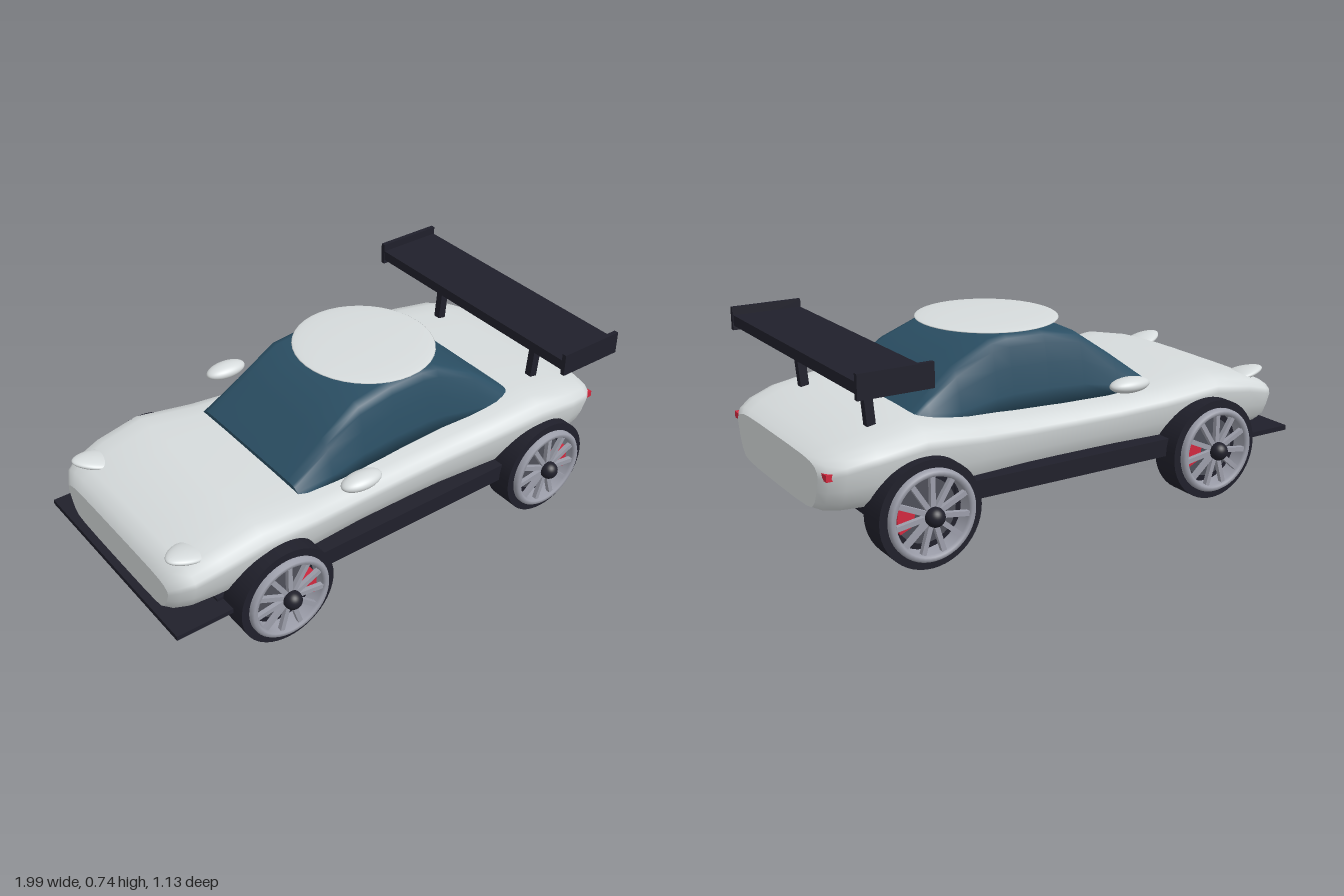
import * as THREE from 'three';

const mat = (name, color) => {
  const m = new THREE.MeshStandardMaterial({ color });
  m.name = name;
  return m;
};

// Skin through rings of [x, y, z] points; rings run bottom, +z side, top, -z side.
function loft(rings) {
  const pos = [], idx = [], n = rings[0].length;
  rings.forEach(r => r.forEach(p => pos.push(...p)));
  for (let i = 0; i < rings.length - 1; i++) {
    for (let j = 0; j < n; j++) {
      const a = i * n + j, b = i * n + (j + 1) % n;
      idx.push(a, a + n, b, b, a + n, b + n);
    }
  }
  // Separate end caps keep a crisp edge
  [rings[0], rings[rings.length - 1]].forEach((r, end) => {
    const base = pos.length / 3;
    r.forEach(p => pos.push(...p));
    const ys = r.map(p => p[1]);
    pos.push(r[0][0], (Math.min(...ys) + Math.max(...ys)) / 2, 0);
    for (let j = 0; j < n; j++) {
      const k = (j + 1) % n;
      idx.push(base + n, base + (end ? k : j), base + (end ? j : k));
    }
  });
  const g = new THREE.BufferGeometry();
  g.setAttribute('position', new THREE.Float32BufferAttribute(pos, 3));
  g.setIndex(idx);
  g.computeVertexNormals();
  return g;
}

// Ring from a half profile of [width fraction, height fraction]
function ring(profile, x, bottom, top, halfWidth) {
  const half = profile.map(([w, h]) => [x, bottom + h * (top - bottom), w * halfWidth]);
  const other = half.slice(1, -1).reverse().map(([a, b, c]) => [a, b, -c]);
  return [...half, ...other];
}

// Smooth the section table [x, bottom, top, halfWidth] along the length
function smoothSections(table, steps) {
  const out = [];
  const lerp = THREE.MathUtils.lerp;
  for (let i = 0; i < table.length - 1; i++) {
    for (let s = 0; s < steps; s++) {
      out.push(table[i].map((v, k) => lerp(v, table[i + 1][k], s / steps)));
    }
  }
  out.push(table[table.length - 1]);
  return out;
}

export function createModel() {
  const car = new THREE.Group();
  car.name = 'sportsCar';
  const white = mat('bodyWhite', 0xd6dbdc);
  const dark = mat('darkTrim', 0x20202b);
  const glass = mat('tintedGlass', 0x2b4f64);
  const silver = mat('rimSilver', 0x9c9eaa);
  const grey = mat('discGrey', 0x4e5059);
  const red = mat('signalRed', 0xd2293f);

  const add = (name, geo, material, x = 0, y = 0, z = 0, parent = car) => {
    const m = new THREE.Mesh(geo, material);
    m.name = name;
    m.position.set(x, y, z);
    parent.add(m);
    return m;
  };
  const box = (name, material, x0, x1, y0, y1, z0, z1, parent) =>
    add(name, new THREE.BoxGeometry(x1 - x0, y1 - y0, z1 - z0), material,
      (x0 + x1) / 2, (y0 + y1) / 2, (z0 + z1) / 2, parent);

  // Body shell
  const bodyProfile = [[0, 0], [0.45, 0.005], [0.72, 0.03], [0.84, 0.08], [0.91, 0.22], [0.96, 0.45],
    [1, 0.72], [0.99, 0.82], [0.94, 0.91], [0.84, 0.965], [0.68, 0.99], [0.35, 1], [0, 1]];
  const bodyTable = [
    [-0.97, 0.205, 0.345, 0.36], [-0.945, 0.205, 0.385, 0.405], [-0.9, 0.205, 0.405, 0.432],
    [-0.8, 0.205, 0.44, 0.45], [-0.63, 0.205, 0.474, 0.457], [-0.4, 0.205, 0.443, 0.437],
    [-0.2, 0.205, 0.43, 0.423], [0, 0.205, 0.43, 0.42], [0.2, 0.205, 0.436, 0.425],
    [0.4, 0.205, 0.453, 0.445], [0.64, 0.205, 0.491, 0.475], [0.82, 0.205, 0.46, 0.468],
    [0.92, 0.205, 0.43, 0.44], [0.97, 0.208, 0.408, 0.405], [0.99, 0.212, 0.395, 0.36]];
  add('body', loft(smoothSections(bodyTable, 1).map(s => ring(bodyProfile, ...s))), white);

  // Glass cabin
  const cabinProfile = [[0, 0], [1, 0], [0.99, 0.25], [0.94, 0.6], [0.89, 0.85], [0.85, 0.95],
    [0.75, 0.99], [0.4, 1], [0, 1]];
  const cabinTable = [
    [-0.4, 0.42, 0.458, 0.33], [-0.25, 0.42, 0.572, 0.325], [-0.1, 0.42, 0.675, 0.317],
    [0.05, 0.42, 0.698, 0.31], [0.2, 0.42, 0.7, 0.308], [0.27, 0.42, 0.69, 0.312],
    [0.43, 0.42, 0.617, 0.333], [0.55, 0.42, 0.525, 0.348], [0.61, 0.42, 0.475, 0.352]];
  add('cabin', loft(cabinTable.map(s => ring(cabinProfile, ...s))), glass);

  // Roof disc
  const ball = new THREE.SphereGeometry(1, 40, 20);
  add('roofDisc', ball, white, 0.13, 0.711, 0).scale.set(0.267, 0.012, 0.281);

  // Underside
  box('floor', dark, -0.8, 0.83, 0.185, 0.215, -0.39, 0.39);
  box('splitter', dark, -1, -0.77, 0.185, 0.204, -0.452, 0.452);

  for (const s of [1, -1]) {
    box('sideSkirt', dark, -0.46, 0.53, 0.19, 0.258, s * 0.42 - 0.035, s * 0.42 + 0.035);
    add('mirror', ball, white, -0.215, 0.495, s * 0.44).scale.set(0.085, 0.029, 0.045);

    // Teardrop headlights, broader toward the tail
    const lamp = ball.clone();
    const p = lamp.attributes.position;
    for (let i = 0; i < p.count; i++) p.setZ(i, p.getZ(i) * (1 + 0.25 * p.getX(i)));
    lamp.computeVertexNormals();
    const light = add('headlight', lamp, white, -0.875, 0.415, s * 0.325);
    light.scale.set(0.08, 0.019, 0.06);
    light.rotation.set(0, s * 0.2, -0.2);

    // Tail lights
    const tri = new THREE.Shape([[0.362, 0.367], [0.41, 0.37], [0.41, 0.345], [0.39, 0.345]]
      .map(([z, y]) => new THREE.Vector2(-s * z, y)));
    const tail = add('tailLight', new THREE.ExtrudeGeometry(tri, { depth: 0.025, bevelEnabled: false }),
      red, 0.957, 0, 0);
    tail.rotation.y = Math.PI / 2;

    // Wing supports and end plates
    const strut = box('wingStrut', dark, 0.75, 0.783, 0.45, 0.675, s * 0.278 - 0.015, s * 0.278 + 0.015);
    strut.rotation.z = -0.09;
    box('wingEndPlate', dark, 0.65, 0.925, 0.647, 0.735, s * 0.537 - 0.009, s * 0.537 + 0.009);
  }
  box('wingBlade', dark, 0.652, 0.922, 0.665, 0.705, -0.53, 0.53);

  // Wheels, built facing +z and turned for the far side
  const lathe = pts => new THREE.LatheGeometry(pts.map(q => new THREE.Vector2(...q)), 48).rotateX(Math.PI / 2);
  const tyreGeo = lathe([[0, 0.39], [0.195, 0.39], [0.195, 0.39], [0.195, 0.505], [0.195, 0.505],
    [0.155, 0.505], [0.155, 0.505], [0.15, 0.45], [0.15, 0.45], [0, 0.45]]);
  const rimGeo = lathe([[0.165, 0.5], [0.165, 0.518], [0.158, 0.528], [0.145, 0.528], [0.138, 0.518],
    [0.138, 0.46]]);
  const discGeo = new THREE.CylinderGeometry(0.115, 0.115, 0.012, 40).rotateX(Math.PI / 2);
  const caliper = new THREE.Shape();
  caliper.absarc(0, 0, 0.125, -0.42, 0.42, false);
  caliper.absarc(0, 0, 0.06, 0.42, -0.42, true);
  const caliperGeo = new THREE.ExtrudeGeometry(caliper, { depth: 0.03, bevelEnabled: false });

  for (const x of [-0.58, 0.65]) {
    for (const s of [1, -1]) {
      const wheel = new THREE.Group();
      wheel.name = 'wheel';
      wheel.position.set(x, 0.195, 0);
      if (s < 0) wheel.rotation.y = Math.PI;
      car.add(wheel);
      add('tyre', tyreGeo, dark, 0, 0, 0, wheel);
      add('rim', rimGeo, silver, 0, 0, 0, wheel);
      add('brakeDisc', discGeo, grey, 0, 0, 0.46, wheel);
      const brake = add('brakeCaliper', caliperGeo, red, 0, 0, 0.468, wheel);
      // Calipers sit behind the axle on both sides
      if (s < 0) brake.rotation.z = Math.PI;
      add('hub', ball, dark, 0, 0, 0.53, wheel).scale.setScalar(0.035);
      for (let i = 0; i < 11; i++) {
        const spoke = new THREE.Group();
        spoke.name = 'spoke';
        spoke.rotation.z = Math.PI / 2 + i * Math.PI * 2 / 11;
        wheel.add(spoke);
        box('spokeBar', silver, 0.02, 0.145, -0.009, 0.009, 0.502, 0.52, spoke);
      }
    }
  }
  return car;
}
